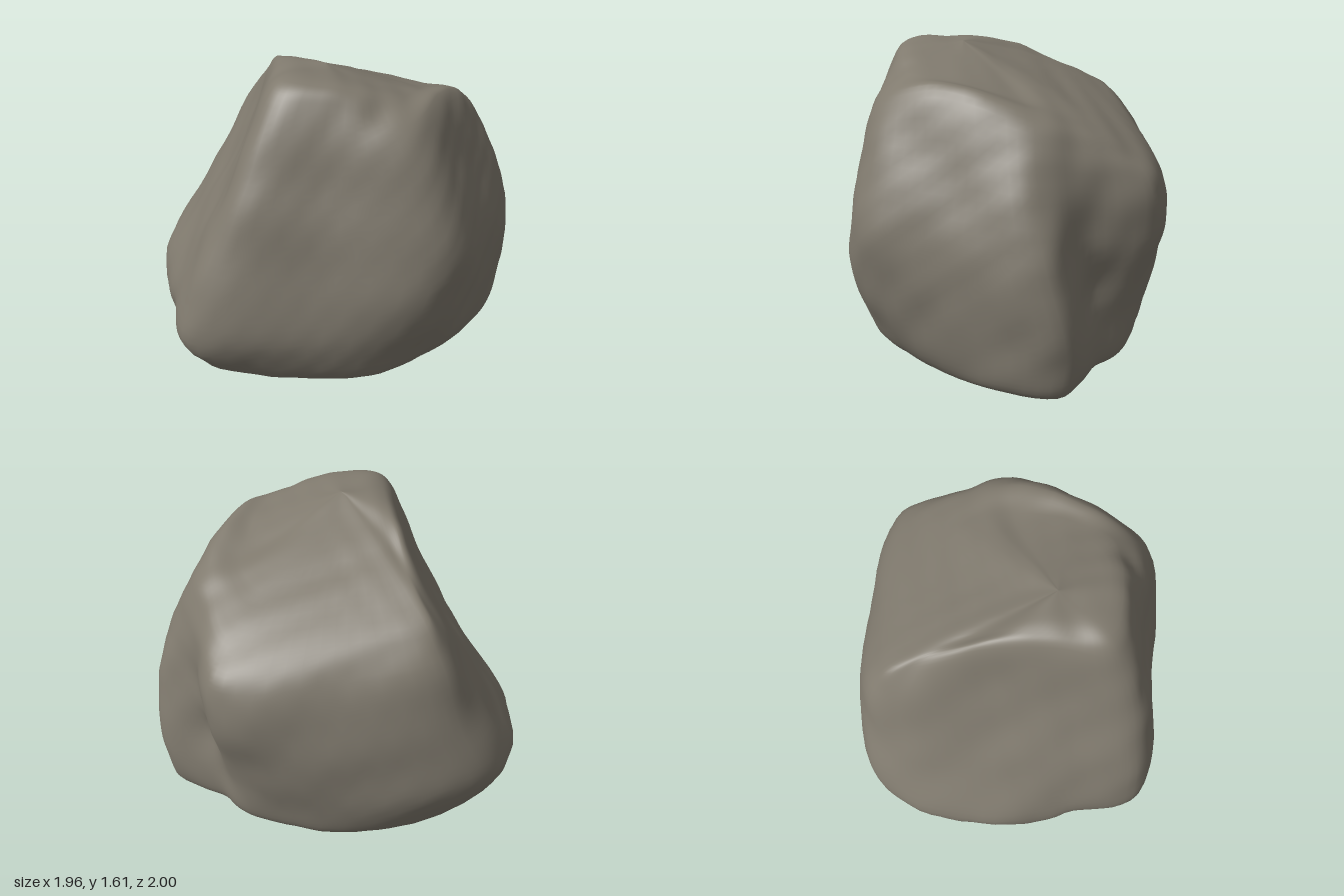
import * as THREE from 'three';

const STEPS = 8; // subdivisions between neighbouring control points

// Horizontal ring: x, z pairs at one height
const level = (y, ...xz) =>
  Array.from({ length: xz.length / 2 }, (_, i) => new THREE.Vector3(xz[2 * i], y, xz[2 * i + 1]));
// Sloping ring: x, y, z triples
const slope = (...p) =>
  Array.from({ length: p.length / 3 }, (_, i) => new THREE.Vector3(p[3 * i], p[3 * i + 1], p[3 * i + 2]));
const pole = (x, y, z) => Array.from({ length: 12 }, () => new THREE.Vector3(x, y, z));

// Corners in order: front, front-right face, right, right face, back-right, notch,
// back, back-left face, left-back, left, front-left, front-left face
const foot = level(0.055, -0.15, 0.83, 0.36, 0.62, 0.68, 0.34, 0.85, -0.2, 0.79, -0.72, 0.42, -0.76,
  0.2, -0.82, -0.27, -0.7, -0.64, -0.4, -0.71, 0, -0.64, 0.36, -0.44, 0.63);
const belt = slope(-0.14, 0.31, 0.99, 0.4, 0.34, 0.72, 0.85, 0.38, 0.36, 0.93, 0.34, -0.2,
  0.82, 0.3, -0.77, 0.47, 0.32, -0.78, 0.22, 0.34, -0.88, -0.35, 0.36, -0.77,
  -0.91, 0.38, -0.36, -0.97, 0.38, -0.1, -0.77, 0.36, 0.42, -0.47, 0.33, 0.71);
const waist = level(0.75, -0.05, 0.9, 0.44, 0.64, 0.95, 0.31, 0.94, -0.15, 0.86, -0.67, 0.55, -0.75,
  0.26, -0.99, -0.33, -0.78, -0.8, -0.43, -0.81, -0.15, -0.57, 0.28, -0.32, 0.6);
const shoulder = slope(0.05, 1.15, 0.75, 0.42, 1.15, 0.56, 0.83, 1.15, 0.29, 0.83, 1.15, -0.15,
  0.77, 1.13, -0.54, 0.54, 1.1, -0.73, 0.28, 1.02, -0.98, -0.25, 1.07, -0.74,
  -0.67, 1.13, -0.43, -0.62, 1.15, -0.22, -0.37, 1.16, 0.12, -0.16, 1.16, 0.45);
const brow = slope(0.1, 1.5, 0.58, 0.4, 1.48, 0.45, 0.69, 1.42, 0.28, 0.69, 1.48, -0.06,
  0.62, 1.37, -0.45, 0.49, 1.28, -0.65, 0.28, 1.18, -0.83, -0.2, 1.22, -0.62,
  -0.57, 1.28, -0.39, -0.45, 1.38, -0.22, -0.26, 1.51, 0.02, -0.07, 1.55, 0.3);
const crown = slope(0.12, 1.59, 0.47, 0.38, 1.565, 0.38, 0.57, 1.51, 0.22, 0.57, 1.48, -0.05,
  0.46, 1.4, -0.33, 0.37, 1.38, -0.44, 0.25, 1.37, -0.48, -0.05, 1.41, -0.3,
  -0.29, 1.44, -0.2, -0.23, 1.49, -0.08, -0.1, 1.58, 0.1, 0.02, 1.595, 0.3);
const sole = foot.map((p) => new THREE.Vector3(p.x * 0.88, 0.015, p.z * 0.88));
const rings = [pole(0.05, 0.02, -0.05), sole, foot, belt, waist, shoulder, brow, crown, pole(0.16, 1.6, 0.15)];

// Gentle weathering made of layered waves
const weather = (p) =>
  0.007 * Math.sin(7 * p.x + 4 * p.y + 1) * Math.sin(6 * p.y - 5 * p.z) +
  0.005 * Math.sin(13 * p.z + 9 * p.x) * Math.sin(15 * p.y + 4 * p.x + 2) +
  0.003 * Math.sin(27 * p.x - 11 * p.y) * Math.sin(24 * p.z + 17 * p.y);

// Chips knocked out of the surface: x, y, z, radius, depth
const chips = [[-0.2, 0.1, 0.9, 0.11, 0.03], [-0.74, 0.2, 0.36, 0.12, 0.04],
  [0.57, 1.46, 0.32, 0.09, 0.025], [0.05, 0.12, 0.8, 0.12, 0.02], [-0.42, 0.25, 0.72, 0.1, 0.025],
  [0.5, 0.5, -0.76, 0.12, 0.03]];

function rockGeometry() {
  // Smooth upright profiles, then smooth closed loops through them
  const profiles = foot.map((_, c) => new THREE.CatmullRomCurve3(rings.map((r) => r[c])));
  const rows = (rings.length - 1) * STEPS;
  const cols = foot.length * STEPS;
  const positions = [];
  const index = [];
  for (let j = 0; j <= rows; j++) {
    const loop = new THREE.CatmullRomCurve3(profiles.map((c) => c.getPoint(j / rows)), true);
    for (let i = 0; i < cols; i++) {
      positions.push(...loop.getPoint(i / cols).toArray());
      if (j === rows) continue;
      const k = (i + 1) % cols;
      const a = j * cols + i, b = j * cols + k;
      index.push(a, b, b + cols, a, b + cols, a + cols);
    }
  }
  const geometry = new THREE.BufferGeometry();
  geometry.setAttribute('position', new THREE.Float32BufferAttribute(positions, 3));
  geometry.setIndex(index);

  // Push the surface in and out from the core
  const pos = geometry.attributes.position;
  const p = new THREE.Vector3();
  const out = new THREE.Vector3();
  for (let i = 0; i < pos.count; i++) {
    p.fromBufferAttribute(pos, i);
    out.set(p.x, (p.y - 0.7) * 0.8, p.z).normalize();
    let push = weather(p);
    for (const [x, y, z, radius, depth] of chips) {
      const d = Math.hypot(p.x - x, p.y - y, p.z - z) / radius;
      push -= depth * Math.exp(-d * d);
    }
    p.addScaledVector(out, push);
    pos.setXYZ(i, p.x, Math.max(p.y, 0), p.z);
  }
  geometry.computeVertexNormals();
  return geometry;
}

export function createModel() {
  const stone = new THREE.MeshStandardMaterial({ color: 0x807a6e });
  stone.name = 'stone';
  const boulder = new THREE.Mesh(rockGeometry(), stone);
  boulder.name = 'boulder';
  const model = new THREE.Group();
  model.name = 'rock';
  model.add(boulder);
  return model;
}
